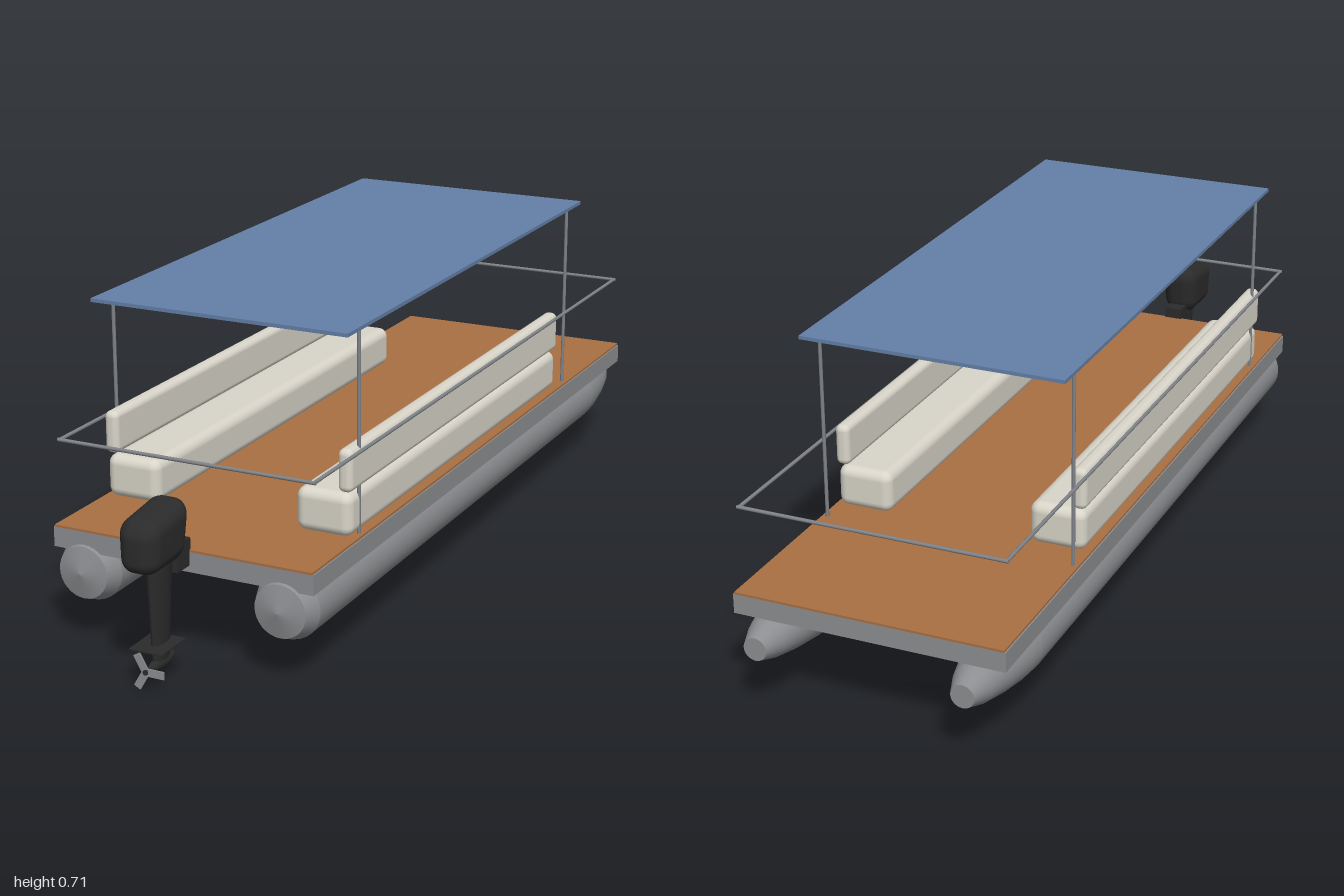
import * as THREE from 'three';
import { RoundedBoxGeometry } from 'three/addons/geometries/RoundedBoxGeometry.js';
import { mergeVertices } from 'three/addons/utils/BufferGeometryUtils.js';

function material(name, color) {
  const m = new THREE.MeshStandardMaterial({ color });
  m.name = name;
  return m;
}

export function createModel() {
  const boat = new THREE.Group();
  boat.name = 'pontoonBoat';

  const aluminium = material('aluminium', 0x8c8e91);
  const wood = material('wood deck', 0xa97043);
  const cream = material('cream vinyl', 0xd9d5c9);
  const blue = material('blue canvas', 0x6480a8);
  const black = material('engine black', 0x2b2b2b);
  const steel = material('rail steel', 0x7f8388);

  function add(name, geometry, mat, x = 0, y = 0, z = 0, parent = boat) {
    const mesh = new THREE.Mesh(geometry, mat);
    mesh.name = name;
    mesh.position.set(x, y, z);
    parent.add(mesh);
    return mesh;
  }
  // Box given by its limits on each axis
  function addBox(name, mat, [x0, x1], [y0, y1], [z0, z1], radius = 0, parent = boat) {
    const size = [x1 - x0, y1 - y0, z1 - z0];
    const geometry = radius
      ? new RoundedBoxGeometry(...size, 4, radius)
      : new THREE.BoxGeometry(...size);
    return add(name, geometry, mat, (x0 + x1) / 2, (y0 + y1) / 2, (z0 + z1) / 2, parent);
  }

  // Deck
  addBox('deckFrame', aluminium, [-0.305, 0.305], [0.21, 0.254], [-0.953, 0.82]);
  addBox('deckFloor', wood, [-0.302, 0.302], [0.254, 0.259], [-0.953, 0.82]);

  // Pontoons: blunt stern, tapered bow
  const body = [[0.073, 0.79], [0.073, -0.77]];
  const bow = [[0.073, -0.77], [0.069, -0.82], [0.058, -0.89], [0.043, -0.955], [0.026, -1]];
  const sections = {
    Stern: [[0, 0.84], [0.058, 0.826]],
    Shoulder: [[0.058, 0.826], [0.073, 0.79]],
    Tube: body,
    Bow: bow,
    BowCap: [[0.026, -1], [0, -1]],
  };
  for (const side of [-1, 1]) {
    const pontoon = new THREE.Group();
    pontoon.name = side > 0 ? 'leftPontoon' : 'rightPontoon';
    pontoon.position.set(side * 0.232, 0.165, 0);
    boat.add(pontoon);
    for (const [name, profile] of Object.entries(sections)) {
      const points = profile.map(([r, z]) => new THREE.Vector2(r, z)).reverse();
      const geometry = new THREE.LatheGeometry(points, 32).rotateX(Math.PI / 2);
      add('pontoon' + name, geometry, aluminium, 0, 0, 0, pontoon);
    }
  }

  // Bench seats along both sides
  for (const side of [-1, 1]) {
    const span = (a, b) => (side > 0 ? [a, b] : [-b, -a]);
    const prefix = side > 0 ? 'left' : 'right';
    addBox(prefix + 'SeatBase', cream, span(0.164, 0.2925), [0.26, 0.356], [-0.522, 0.632], 0.022);
    addBox(prefix + 'SeatBack', cream, span(0.262, 0.295), [0.359, 0.453], [-0.522, 0.632], 0.014);

    // Canopy posts
    for (const z of [0.585, -0.575]) {
      add('canopyPost', new THREE.CylinderGeometry(0.004, 0.004, 0.445, 12), steel, side * 0.29, 0.479, z);
    }
    // Side rails
    add('sideRail', new THREE.CylinderGeometry(0.004, 0.004, 1.722, 12).rotateX(Math.PI / 2),
      steel, side * 0.296, 0.44, -0.063);
  }
  // End rails
  for (const z of [0.798, -0.924]) {
    add('endRail', new THREE.CylinderGeometry(0.004, 0.004, 0.6, 12).rotateZ(Math.PI / 2), steel, 0, 0.44, z);
  }

  addBox('canopy', blue, [-0.3, 0.3], [0.7, 0.708], [-0.645, 0.656]);

  // Outboard motor
  const motor = new THREE.Group();
  motor.name = 'outboardMotor';
  boat.add(motor);

  // Cowl: rounded block, narrowed at both ends and the base, top sloping aft
  let cowl = new RoundedBoxGeometry(0.097, 0.128, 0.166, 6, 0.036);
  cowl.clearGroups();
  cowl.deleteAttribute('normal');
  cowl.deleteAttribute('uv');
  cowl = mergeVertices(cowl, 1e-5);
  const p = cowl.attributes.position;
  for (let i = 0; i < p.count; i++) {
    const v = p.getY(i) / 0.128 + 0.5;
    const w = p.getZ(i) / 0.083;
    const taper = (1 - 0.15 * w * w) * (0.92 + 0.08 * Math.min(1, v * 2));
    p.setX(i, p.getX(i) * taper);
    p.setY(i, p.getY(i) - 0.022 * v * Math.max(0, w));
    p.setZ(i, p.getZ(i) + (w < 0 ? 0.02 * (1 - v) : 0));
  }
  cowl.computeVertexNormals();
  add('cowl', cowl, black, 0, 0.322, 0.916, motor);

  // Tapered leg with an oval section
  const leg = new THREE.CylinderGeometry(0.021, 0.011, 0.225, 20);
  const q = leg.attributes.position;
  for (let i = 0; i < q.count; i++) {
    const t = q.getY(i) / 0.225 + 0.5;
    q.setZ(i, q.getZ(i) * THREE.MathUtils.lerp(2.6, 1.95, t));
  }
  leg.computeVertexNormals();
  add('leg', leg, black, 0, 0.1575, 0.904, motor);

  addBox('transomBracket', black, [-0.022, 0.022], [0.225, 0.285], [0.815, 0.868], 0, motor);
  addBox('cavitationPlate', black, [-0.038, 0.038], [0.085, 0.088], [0.87, 0.965], 0, motor);
  add('gearCase', new THREE.SphereGeometry(1, 20, 14).scale(0.013, 0.0135, 0.052), black, 0, 0.043, 0.903, motor);
  add('propellerShaft', new THREE.CylinderGeometry(0.006, 0.006, 0.035, 14).rotateX(Math.PI / 2),
    black, 0, 0.043, 0.95, motor);

  // Three propeller blades
  for (let i = 0; i < 3; i++) {
    const blade = add('propellerBlade', new THREE.BoxGeometry(0.038, 0.017, 0.003).translate(0.023, 0, 0),
      aluminium, 0, 0.043, 0.964, motor);
    blade.rotation.z = (i * Math.PI * 2) / 3;
  }

  return boat;
}
